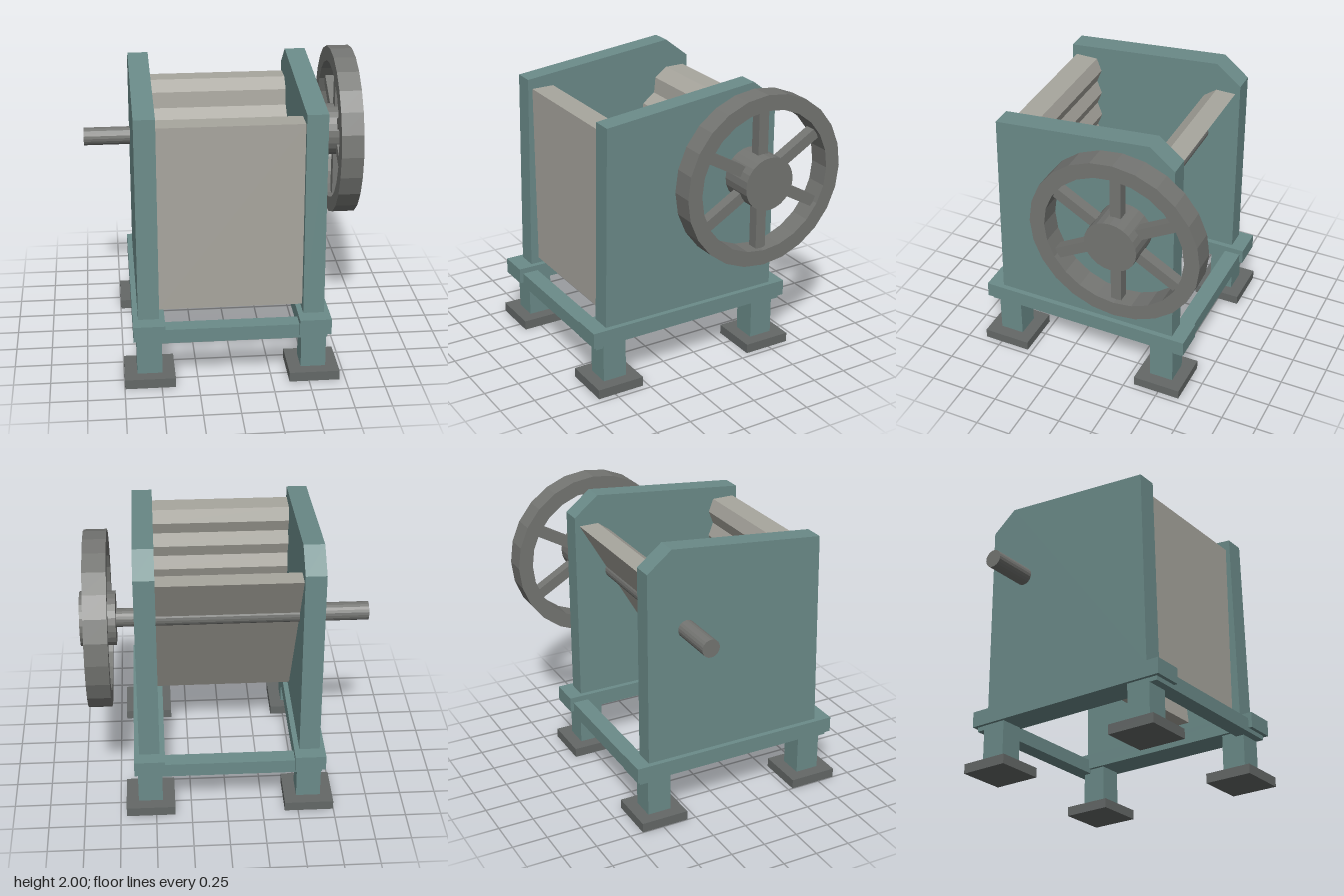
import * as THREE from 'three';

const CX = -0.02; // mid-plane of the machine body
const SIDE = 0.557; // offset of each side frame from the mid-plane

const mat = (color) => new THREE.MeshStandardMaterial({ color, flatShading: true });

export function createModel() {
  const root = new THREE.Group();
  root.name = 'jawCrusher';
  const teal = mat(0x6b8b89), iron = mat(0x747572), dark = mat(0x646867), jaw = mat(0xa8a69e);

  const add = (name, geometry, material, x = 0, y = 0, z = 0, parent = root) => {
    const mesh = new THREE.Mesh(geometry, material);
    mesh.name = name;
    mesh.position.set(x, y, z);
    parent.add(mesh);
    return mesh;
  };

  // Box given by its centre x, width, and y / z ranges
  const box = (name, material, x, w, [y0, y1], [z0, z1]) =>
    add(name, new THREE.BoxGeometry(w, y1 - y0, z1 - z0), material, x, (y0 + y1) / 2, (z0 + z1) / 2);

  // Profile of [z, y] points extruded along x, centred on x = 0
  const slab = (points, width, hole) => {
    const shape = new THREE.Shape(points.map(([z, y]) => new THREE.Vector2(z, y)));
    if (hole) shape.holes.push(new THREE.Path(hole.map(([z, y]) => new THREE.Vector2(z, y))));
    return new THREE.ExtrudeGeometry(shape, { depth: width, bevelEnabled: false })
      .translate(0, 0, -width / 2)
      .rotateY(-Math.PI / 2);
  };

  // Zigzag of triangular teeth from a to b, raised to the left of that direction
  const teeth = (a, b, count, height) => {
    const dz = b[0] - a[0], dy = b[1] - a[1], len = Math.hypot(dz, dy);
    const points = [];
    for (let i = 0; i <= count * 2; i++) {
      const t = i / (count * 2), h = i % 2 ? height : 0;
      points.push([a[0] + dz * t - (dy / len) * h, a[1] + dy * t + (dz / len) * h]);
    }
    return points;
  };

  // Side frames with rails, legs and feet
  const plate = [[0.76, 0.46], [0.73, 1.86], [-0.38, 1.975], [-0.555, 1.835], [-0.555, 0.46]];
  for (const s of [-1, 1]) {
    const x = CX + s * SIDE;
    add('sidePlate', slab(plate, 0.142), teal, x);
    box('sideRail', teal, x, 0.214, [0.35, 0.46], [-0.655, 0.872]);
    for (const z of [-0.485, 0.705]) {
      box('leg', teal, x, 0.17, [0.065, 0.35], [z - 0.085, z + 0.085]);
      box('foot', dark, x, 0.342, [0, 0.067], [z - 0.17, z + 0.17]);
    }
  }

  // Cross beams joining the rails
  box('frontCrossBeam', teal, CX, 1.28, [0.32, 0.42], [0.73, 0.845]);
  box('rearCrossBeam', teal, CX, 1.28, [0.32, 0.42], [-0.63, -0.515]);

  // Upright fixed jaw, teeth towards the back
  const fixed = [[0.7, 0.5], [0.7, 1.79], ...teeth([0.54, 1.79], [0.54, 0.5], 7, -0.035)];
  add('fixedJaw', slab(fixed, 0.975), jaw, CX);

  // Slanted swinging jaw, teeth towards the front
  const swing = [[0.2, 0.52], [-0.52, 1.77], ...teeth([-0.38, 1.77], [0.34, 0.52], 7, 0.045)];
  add('swingJaw', slab(swing, 0.975), jaw, CX);

  // Drive shaft
  const rod = (r, length, sides) => new THREE.CylinderGeometry(r, r, length, sides).rotateZ(Math.PI / 2);
  add('driveShaft', rod(0.063, 1.8, 20), iron, -0.075, 1.4, -0.27);

  // Flywheel
  const wheel = new THREE.Group();
  wheel.name = 'flywheel';
  wheel.position.set(0.85, 1.4, -0.27);
  root.add(wheel);
  const ring = (r) => Array.from({ length: 24 }, (_, i) => {
    const a = (i / 24) * Math.PI * 2;
    return [r * Math.cos(a), r * Math.sin(a)];
  });
  add('rim', slab(ring(0.598), 0.155, ring(0.492)), iron, 0, 0, 0, wheel);
  add('hub', rod(0.184, 0.24, 24), iron, 0, 0, 0, wheel);
  for (let i = 0; i < 6; i++) {
    const spoke = new THREE.BoxGeometry(0.075, 0.37, 0.075).translate(0, 0.325, 0);
    add('spoke', spoke, iron, 0, 0, 0, wheel).rotation.x = (i * Math.PI) / 3;
  }

  return root;
}
